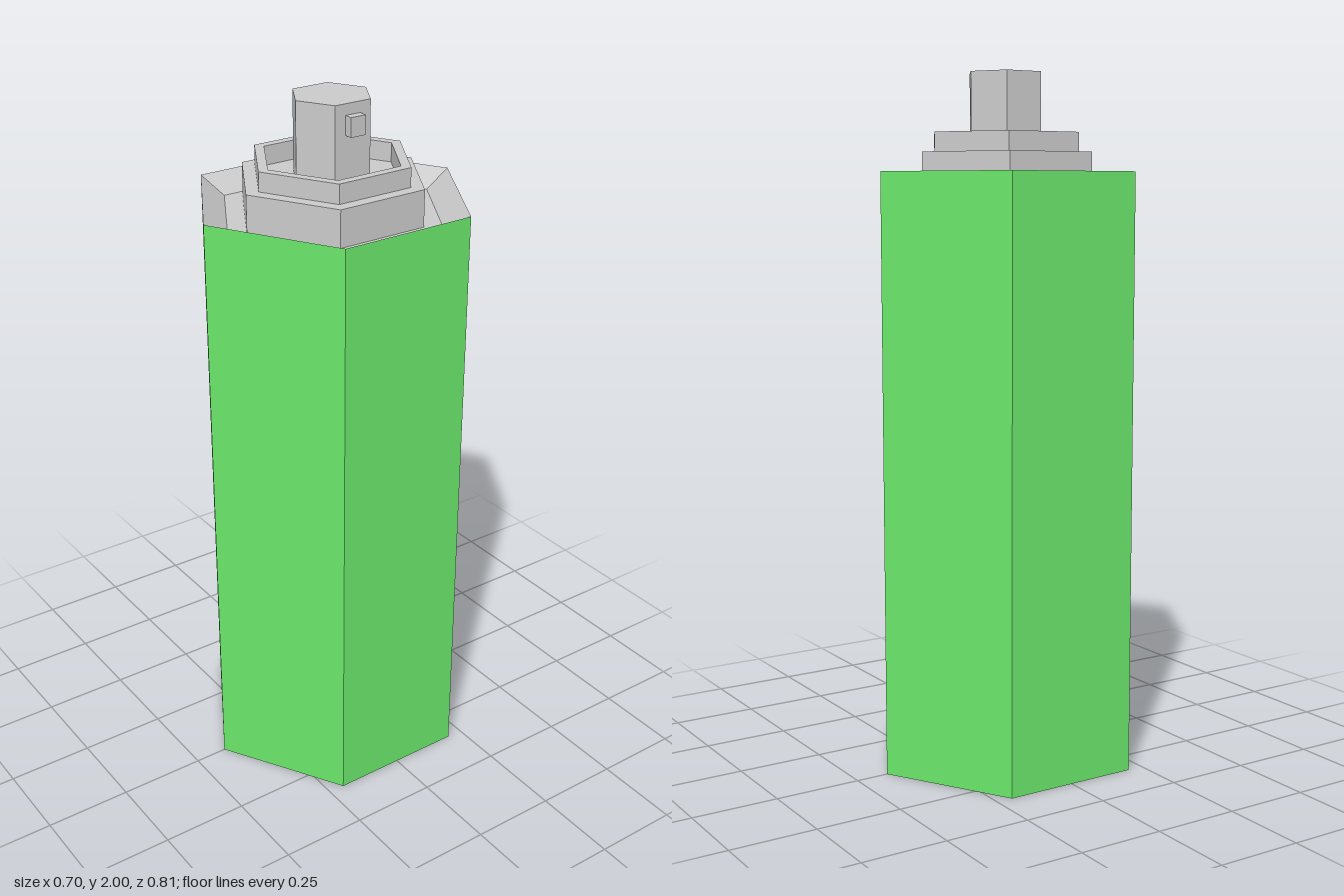
import * as THREE from 'three';

const grey = new THREE.MeshStandardMaterial({ color: 0xcccccc, flatShading: true });
const green = new THREE.MeshStandardMaterial({ color: 0x6be86b, flatShading: true });

// Six-sided turned part with corners on the z axis; profile points are [radius, y]
function hexPart(name, profile, material) {
  const points = profile.map(([r, y]) => new THREE.Vector2(r, y));
  const mesh = new THREE.Mesh(new THREE.LatheGeometry(points, 6), material);
  mesh.name = name;
  return mesh;
}

export function createModel() {
  const model = new THREE.Group();
  model.name = 'sprayCan';

  // Can wall and its closed underside
  model.add(hexPart('canBody', [[0.405, 0], [0.405, 1.72]], green));
  model.add(hexPart('canBase', [[0, 0], [0.405, 0]], grey));

  // Rim sloping inward to a sunken floor
  model.add(hexPart('canRim', [[0.405, 1.72], [0.332, 1.67], [0.27, 1.67]], grey));

  // Stepped collar with a recess around the nozzle
  model.add(hexPart('collar', [
    [0.273, 1.67], [0.273, 1.775], [0.233, 1.775], [0.233, 1.83],
    [0.203, 1.83], [0.203, 1.775], [0, 1.775],
  ], grey));

  // Push-down nozzle and its outlet on the left side
  model.add(hexPart('nozzle', [[0.114, 1.775], [0.114, 2], [0, 2]], grey));
  const outlet = new THREE.Mesh(new THREE.BoxGeometry(0.045, 0.054, 0.047), grey);
  outlet.name = 'nozzleOutlet';
  outlet.position.set(0.1005, 1.942, 0);
  model.add(outlet);

  return model;
}
